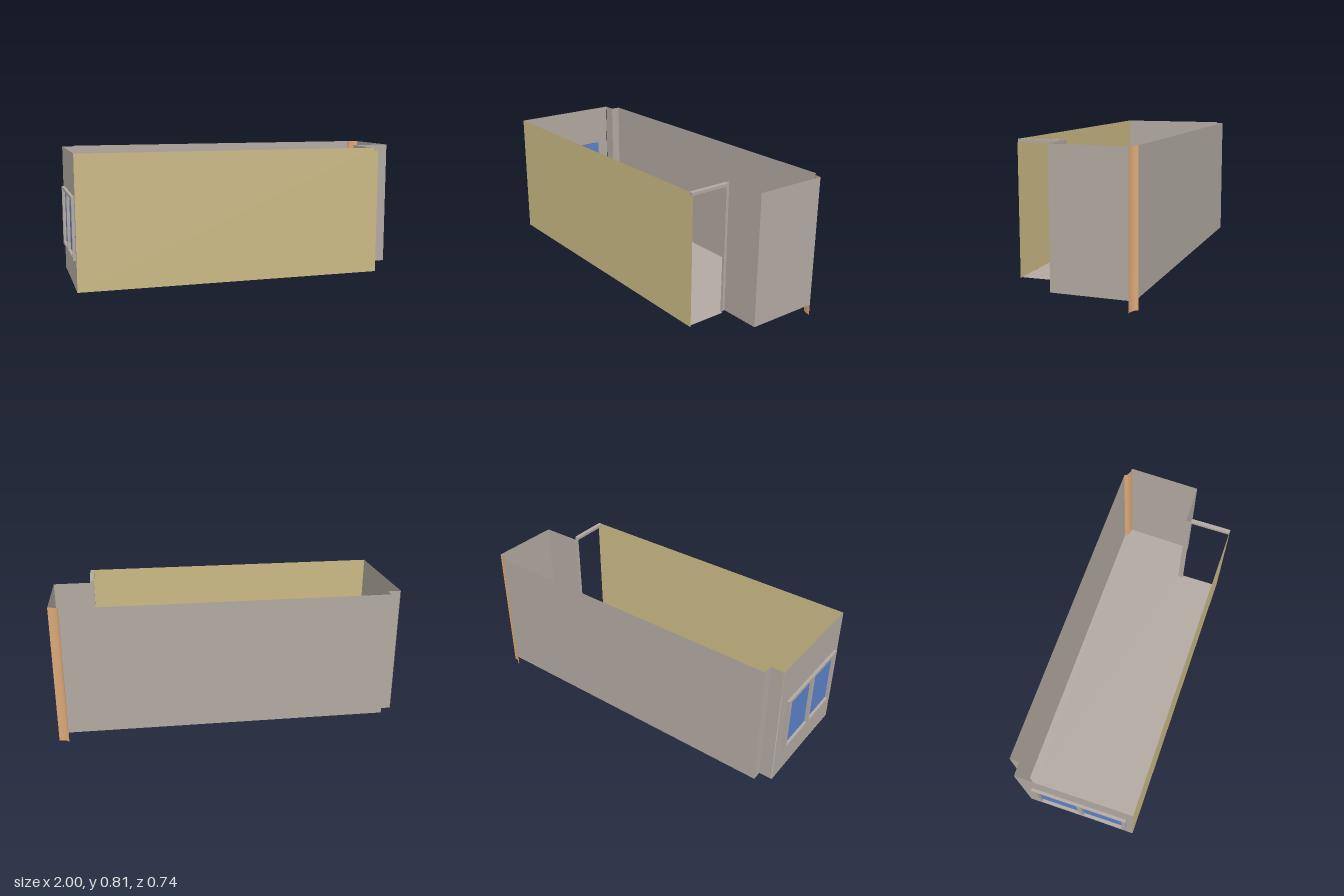
import * as THREE from 'three';

const FLOOR = 0.063, TOP = 0.81;

export function createModel() {
  const model = new THREE.Group();
  model.name = 'room';
  const material = (name, color) => {
    const m = new THREE.MeshStandardMaterial({ color, side: THREE.DoubleSide });
    m.name = name;
    return m;
  };
  const plaster = material('grey plaster', 0xb2a9a1);
  const ochre = material('ochre paint', 0xcab985);
  const glass = material('blue glass', 0x5b82ca);
  const copper = material('tan column', 0xdba878);

  const add = (name, geometry, mat) => {
    const mesh = new THREE.Mesh(geometry, mat);
    mesh.name = name;
    model.add(mesh);
    return mesh;
  };
  const shape = (pts) => new THREE.Shape(pts.map(([x, y]) => new THREE.Vector2(x, y)));
  const rect = (a, b, c, d) => [[a, b], [c, b], [c, d], [a, d]];

  // Thin upright wall following plan points [x, z]
  const wall = (name, plan, mat, y0 = FLOOR) => {
    const pos = [];
    for (let i = 0; i < plan.length - 1; i++) {
      const [ax, az] = plan[i], [bx, bz] = plan[i + 1];
      pos.push(ax, y0, az, bx, y0, bz, bx, TOP, bz, ax, y0, az, bx, TOP, bz, ax, TOP, az);
    }
    const g = new THREE.BufferGeometry();
    g.setAttribute('position', new THREE.Float32BufferAttribute(pos, 3));
    g.computeVertexNormals();
    return add(name, g, mat);
  };

  // Concave column cover in the back corner
  const arc = [];
  for (let i = 0; i <= 10; i++) {
    const a = (i / 10) * Math.PI / 2;
    arc.push([1 - 0.058 * Math.cos(a), -0.348 + 0.03 * Math.sin(a)]);
  }
  wall('columnCover', arc, copper, 0);

  // Grey walls
  wall('backWall', [[0.942, -0.348], [-0.905, -0.368]], plaster);
  wall('backCornerStep', [[-0.905, -0.368], [-0.905, -0.313], [-0.98, -0.313]], plaster);
  wall('rightWall', [[1, -0.318], [0.99, 0.1]], plaster);
  wall('entranceWall', [[0.99, 0.1], [0.758, 0.1], [0.758, 0.13], [0.772, 0.13]], plaster);

  // Ochre front wall, slightly skewed, notched for the lintel
  const frontLength = 1.773;
  const front = add('frontWall', new THREE.ShapeGeometry(shape([
    [0, FLOOR], [frontLength, FLOOR], [frontLength, 0.793],
    [frontLength - 0.03, 0.793], [frontLength - 0.03, TOP], [0, TOP],
  ])), ochre);
  front.position.set(-0.985, 0, 0.346);
  front.rotation.y = -0.0115;

  // Lintel over the doorway
  const lintel = add('doorLintel', new THREE.BoxGeometry(0.024, 0.017, 0.237), plaster);
  lintel.position.set(0.77, 0.8015, 0.2485);

  // Floor
  const floor = add('floor', new THREE.ShapeGeometry(shape([
    ...arc, [0.99, 0.1], [0.758, 0.1], [0.758, 0.13], [0.772, 0.13], [0.772, 0.366],
    [-0.985, 0.346], [-0.98, -0.313], [-0.905, -0.313], [-0.905, -0.368],
  ])), plaster);
  floor.rotation.x = Math.PI / 2;
  floor.position.y = FLOOR;

  // Window wall: drawn in (z, y), turned to face -x
  const side = new THREE.Group();
  side.name = 'windowWall';
  side.position.set(-0.983, 0, 0);
  side.rotation.y = -Math.PI / 2;
  model.add(side);
  const addSide = (name, geometry, mat, z = 0) => {
    const mesh = add(name, geometry, mat);
    mesh.position.z = z;
    side.add(mesh);
  };
  const wallShape = shape(rect(-0.313, FLOOR, 0.346, TOP));
  wallShape.holes.push(shape(rect(-0.24, 0.235, 0.3, 0.56)));
  addSide('leftWall', new THREE.ShapeGeometry(wallShape), plaster);

  // Window frame with two panes
  const frame = shape(rect(-0.243, 0.23, 0.308, 0.578));
  for (const [a, b] of [[-0.214, 0.022], [0.046, 0.284]]) {
    frame.holes.push(shape(rect(a, 0.247, b, 0.56)));
  }
  addSide('windowFrame', new THREE.ExtrudeGeometry(frame, { depth: 0.016, bevelEnabled: false }), plaster, 0.001);
  addSide('windowGlass', new THREE.ShapeGeometry(shape(rect(-0.24, 0.235, 0.3, 0.56))), glass, -0.002);

  return model;
}
